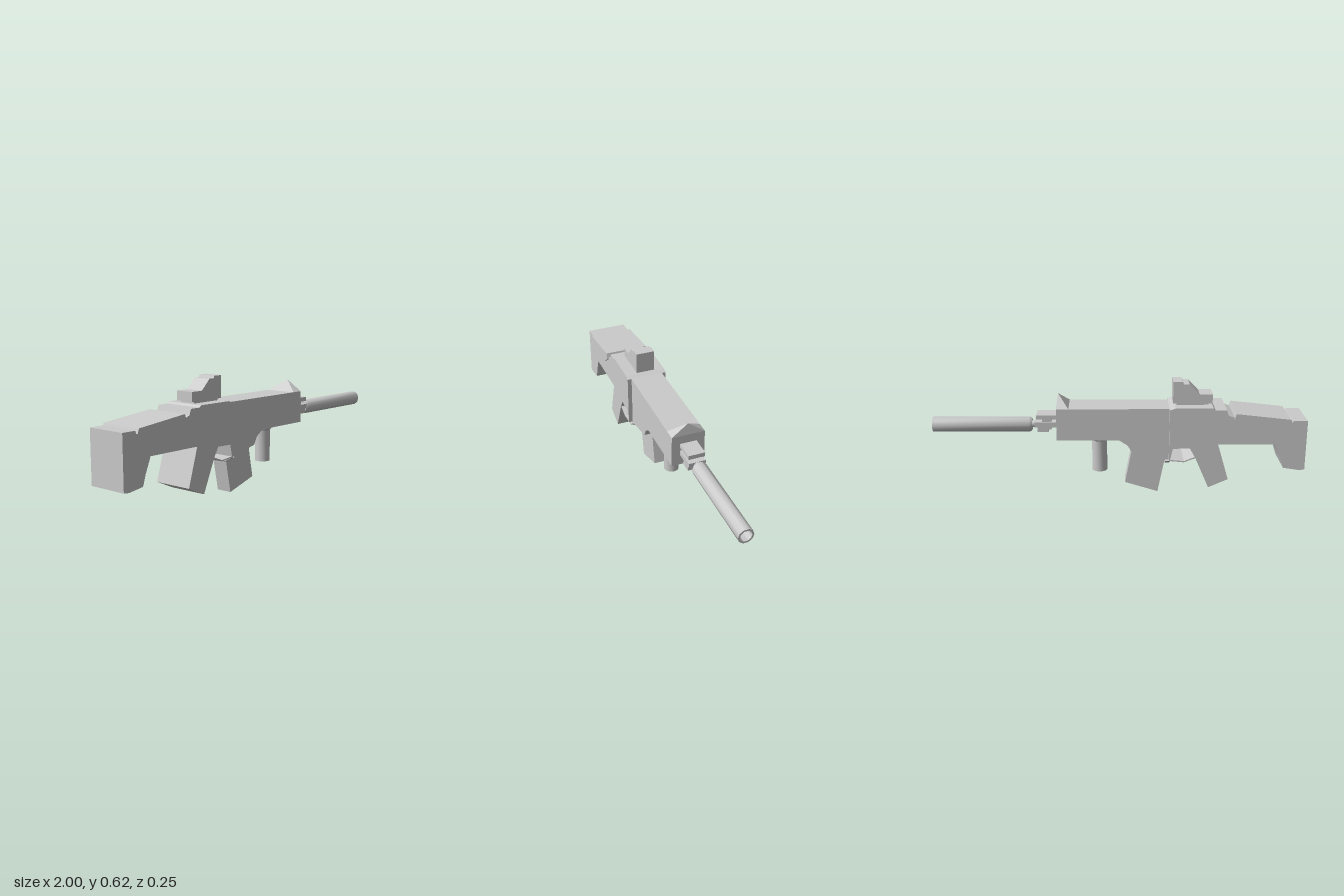
import * as THREE from 'three';
import { toCreasedNormals } from 'three/addons/utils/BufferGeometryUtils.js';

const mat = new THREE.MeshStandardMaterial({ color: 0xcccccc });
const flat = new THREE.MeshStandardMaterial({ color: 0xcccccc, flatShading: true });

export function createModel() {
  const model = new THREE.Group();

  const add = (name, geometry, material = flat) => {
    const mesh = new THREE.Mesh(geometry, material);
    mesh.name = name;
    model.add(mesh);
    return mesh;
  };
  // Side outline in x,y extruded evenly about z = 0
  const slab = (name, points, halfWidth) => {
    const shape = new THREE.Shape(points.map(([x, y]) => new THREE.Vector2(x, y)));
    const g = new THREE.ExtrudeGeometry(shape, { depth: halfWidth * 2, bevelEnabled: false });
    g.translate(0, 0, -halfWidth);
    return add(name, g);
  };
  const box = (name, x0, x1, y0, y1, halfWidth) =>
    slab(name, [[x0, y0], [x1, y0], [x1, y1], [x0, y1]], halfWidth);
  const lathe = (points, sides) => toCreasedNormals(
    new THREE.LatheGeometry(points.map(([r, y]) => new THREE.Vector2(r, y)), sides), 0.75);

  // Butt, rear receiver and pistol grip in one outline
  slab('stockAndReceiver', [
    [-1, 0.155], [-0.97, 0.152], [-0.885, 0.165], [-0.868, 0.22], [-0.835, 0.3], [-0.53, 0.3],
    [-0.59, 0.1], [-0.485, 0.053], [-0.41, 0.225], [-0.38, 0.278], [-0.29, 0.275],
    [-0.275, 0.205], [-0.27, 0.205], [-0.27, 0.49], [-0.3, 0.5], [-0.5, 0.5], [-0.51, 0.49],
    [-0.57, 0.49], [-0.58, 0.46], [-0.62, 0.445], [-0.92, 0.42], [-0.925, 0.43], [-1, 0.43],
  ], 0.113);
  slab('cheekPad', [
    [-0.92, 0.415], [-0.9, 0.385], [-0.66, 0.4], [-0.61, 0.44], [-0.62, 0.472], [-0.91, 0.44],
  ], 0.123);

  // Thin trigger guard joining grip and magazine well
  slab('triggerGuard', [
    [-0.415, 0.222], [-0.35, 0.197], [-0.27, 0.205], [-0.27, 0.212], [-0.35, 0.204], [-0.41, 0.228],
  ], 0.11);
  // Tapered lip below the receiver seam
  const lip = new THREE.ExtrudeGeometry(new THREE.Shape([
    [-0.113, 0.205], [-0.045, 0.172], [0.045, 0.172], [0.113, 0.205],
  ].map(([z, y]) => new THREE.Vector2(z, y))), { depth: 0.025, bevelEnabled: false });
  lip.rotateY(Math.PI / 2).translate(-0.275, 0, 0);
  add('magazineLip', lip);

  // Front body and magazine
  slab('frontBody', [
    [-0.27, 0.2], [-0.075, 0.24], [-0.05, 0.285], [-0.005, 0.315], [0.33, 0.315],
    [0.33, 0.49], [-0.27, 0.49],
  ], 0.09);
  slab('magazine', [[-0.258, 0.225], [-0.215, 0.002], [-0.037, 0.057], [-0.075, 0.26]], 0.045);

  // Optic
  slab('opticSight', [
    [-0.5, 0.51], [-0.29, 0.51], [-0.29, 0.627], [-0.34, 0.627], [-0.345, 0.615],
    [-0.375, 0.615], [-0.43, 0.56], [-0.5, 0.56],
  ], 0.052);
  box('opticBase', -0.48, -0.31, 0.49, 0.511, 0.045);

  // Pyramid front sight: a four-sided cone with its tip moved forward
  const sight = new THREE.ConeGeometry(Math.SQRT1_2, 1, 4, 1);
  sight.rotateY(Math.PI / 4).scale(0.065, 0.063, 0.18).translate(0.2975, 0.5215, 0);
  const p = sight.attributes.position;
  for (let i = 0; i < p.count; i++) if (p.getY(i) > 0.52) p.setX(i, 0.322);
  add('frontSight', sight);

  // Notched muzzle block
  box('muzzleTopRail', 0.33, 0.44, 0.42, 0.443, 0.045);
  box('muzzleCore', 0.36, 0.41, 0.36, 0.425, 0.035);
  box('muzzleLowerRail', 0.33, 0.45, 0.375, 0.402, 0.045);
  box('muzzleFoot', 0.375, 0.435, 0.35, 0.378, 0.045);
  const neck = new THREE.CylinderGeometry(0.02, 0.02, 0.05, 10);
  neck.rotateZ(-Math.PI / 2).translate(0.455, 0.382, 0);
  add('muzzleNeck', neck, mat);

  // Hollow-ended suppressor
  const tube = lathe([
    [0, 0], [0.033, 0], [0.041, 0.012], [0.041, 0.535], [0.031, 0.535], [0.028, 0.46], [0, 0.44],
  ], 10);
  tube.rotateZ(-Math.PI / 2).translate(0.465, 0.38, 0);
  add('suppressor', tube, mat);

  // Round vertical foregrip with a flange
  const grip = lathe([
    [0, 0.118], [0.041, 0.118], [0.041, 0.292], [0.051, 0.3], [0.051, 0.316], [0, 0.316],
  ], 20);
  add('foregrip', grip.translate(0.102, 0, 0), mat);

  return model;
}
